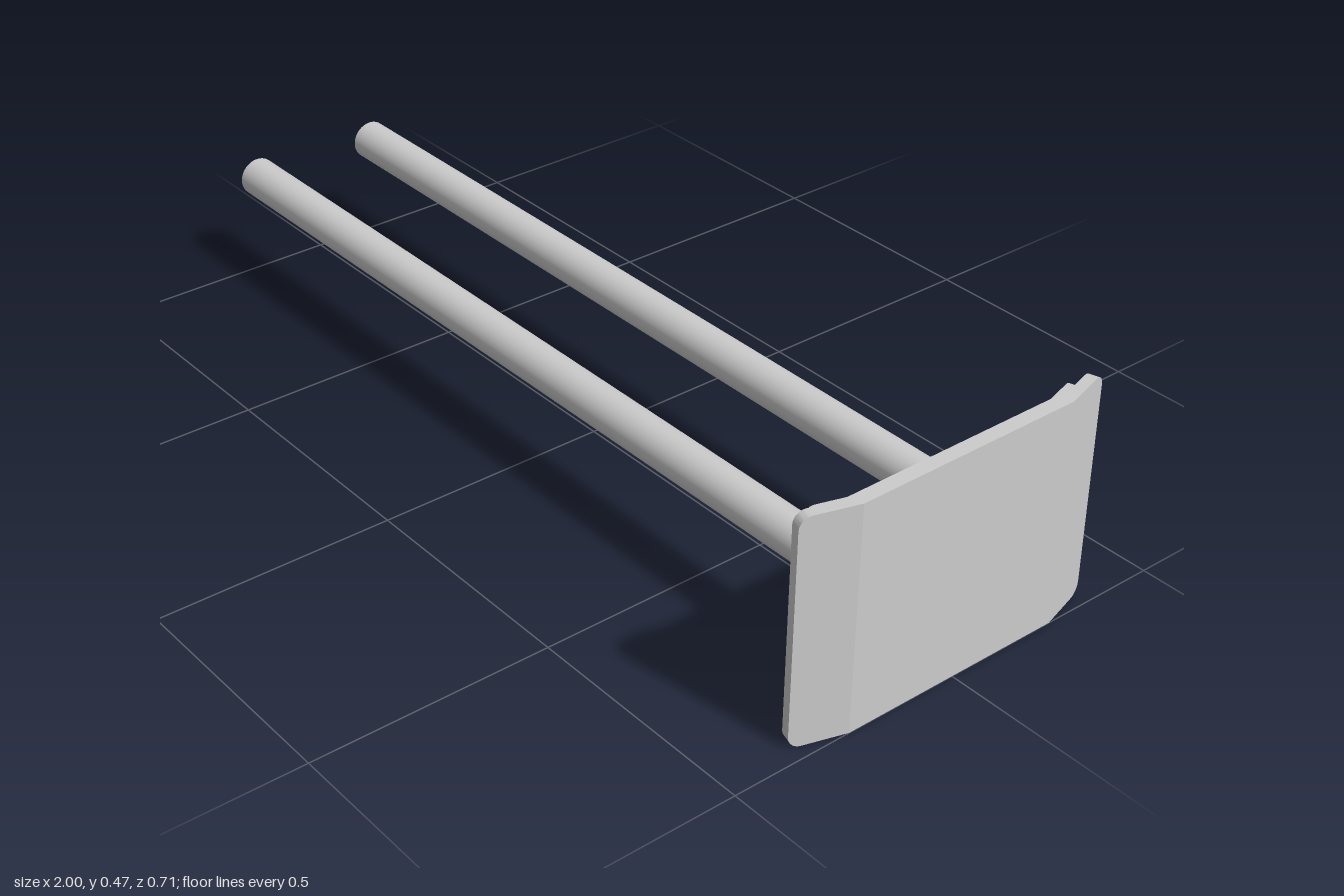
import * as THREE from 'three';
import { toCreasedNormals } from 'three/addons/utils/BufferGeometryUtils.js';

const BEND_Z = 0.245;   // fold line of the plates
const BEND = 0.29;      // fold angle
const FACE_X = 1;       // outer face of the pad
const material = new THREE.MeshStandardMaterial({ color: 0xcccccc, side: THREE.DoubleSide });

// Plate folded backwards at both ends, with rounded corners.
// near/far: depths below the outer face; wing: length past the fold.
function foldedPlate(name, near, far, wing, yMin, yMax, radius) {
  const steps = 8;
  const half = [{ d: 0, drop: 0 }];
  for (let i = 0; i <= steps; i++) {
    const a = (i / steps) * Math.PI / 2;
    half.push({ d: wing - radius * (1 - Math.sin(a)), drop: radius * (1 - Math.cos(a)) });
  }
  const stations = [
    ...half.slice().reverse().map(s => ({ ...s, side: -1 })),
    ...half.map(s => ({ ...s, side: 1 })),
  ];
  const n = stations.length - 1;
  const geometry = new THREE.BoxGeometry(1, 1, 1, 1, 1, n);
  const p = geometry.attributes.position;
  for (let i = 0; i < p.count; i++) {
    const { d, drop, side } = stations[Math.round((p.getZ(i) + 0.5) * n)];
    const u = p.getX(i) > 0 ? near : far;
    const y = p.getY(i) > 0 ? yMax - drop : yMin + drop;
    // mitred at the fold, square to the face elsewhere
    const x = d === 0 ? -u : -d * Math.sin(BEND) - u * Math.cos(BEND);
    const z = d === 0
      ? BEND_Z - u * Math.tan(BEND / 2)
      : BEND_Z + d * Math.cos(BEND) - u * Math.sin(BEND);
    p.setXYZ(i, FACE_X + x, y, side * z);
  }
  const mesh = new THREE.Mesh(toCreasedNormals(geometry, 0.27), material);
  mesh.name = name;
  return mesh;
}

// Cylinder lying along x
function rod(name, radius, x0, x1, z, open) {
  const geometry = new THREE.CylinderGeometry(radius, radius, x1 - x0, 48, 1, open);
  geometry.rotateZ(-Math.PI / 2);
  const mesh = new THREE.Mesh(geometry, material);
  mesh.name = name;
  mesh.position.set((x0 + x1) / 2, 0.222, z);
  return mesh;
}

export function createModel() {
  const model = new THREE.Group();
  model.name = 'paddedSupport';

  // Outer pad and the slightly smaller backing plate
  model.add(foldedPlate('pad', 0, 0.0225, 0.115, 0, 0.467, 0.025));
  model.add(foldedPlate('backingPlate', 0.0225, 0.045, 0.085, 0.015, 0.453, 0.02));

  // Two hollow tubes, each on a round flange
  for (const [side, s] of [['front', 1], ['back', -1]]) {
    model.add(rod(side + 'Flange', 0.083, 0.933, 0.957, s * 0.148, false));
    model.add(rod(side + 'Tube', 0.042, -1, 0.935, s * 0.148, true));
  }
  return model;
}
